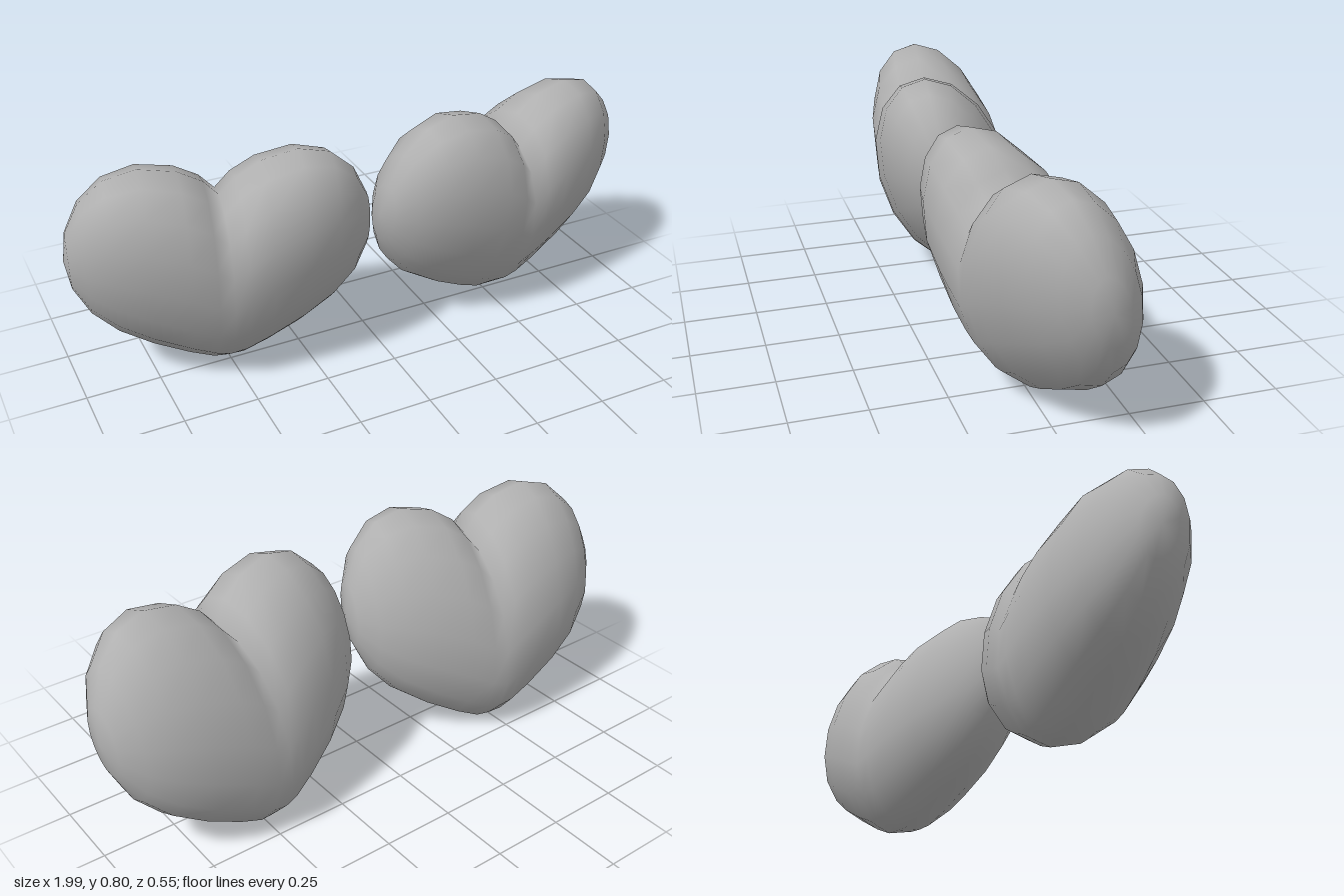
import * as THREE from 'three';
import { mergeVertices } from 'three/addons/utils/BufferGeometryUtils.js';

const HALF_WIDTH = 0.495;
const SEGMENTS = 16;

// Elliptical cross-sections strung along x, swelling into two lobes around a notch.
function heartGeometry() {
  const half = [0.1, 0.26, 0.5, 0.71, 0.87, 0.97, 1];
  const stations = [...half.map((u) => -u).reverse(), 0, ...half];
  const positions = [];
  const indices = [];

  stations.forEach((s, i) => {
    const u = Math.abs(s);
    const middle = 0.33 + 0.33 * u - 0.18 * u * u;
    const lobe = 1 + 0.13 * (1 - Math.exp(-12 * u));
    const height = 0.33 * lobe * Math.sqrt(1 - u ** 3);
    const depth = 0.25 * Math.sqrt(1 - u ** 2.2);
    for (let j = 0; j < SEGMENTS; j++) {
      const t = (j / SEGMENTS) * Math.PI * 2;
      const y = middle + height * Math.cos(t);
      // The top leans forward
      const z = depth * Math.sin(t) + 0.2 * (y - 0.45);
      positions.push(s * HALF_WIDTH, y, z);
      if (i === stations.length - 1) continue;
      const a = i * SEGMENTS + j;
      const b = i * SEGMENTS + ((j + 1) % SEGMENTS);
      const c = a + SEGMENTS;
      const d = b + SEGMENTS;
      if (i > 0) indices.push(a, b, c);
      if (i < stations.length - 2) indices.push(b, d, c);
      else indices.push();
      // End caps keep the one triangle that does not collapse at the pole
      if (i === 0) indices.push();
    }
  });

  const raw = new THREE.BufferGeometry();
  raw.setAttribute('position', new THREE.Float32BufferAttribute(positions, 3));
  raw.setIndex(indices);
  const geometry = mergeVertices(raw, 1e-5);
  geometry.computeVertexNormals();
  return geometry;
}

export function createModel() {
  const model = new THREE.Group();
  model.name = 'heartPair';
  const grey = new THREE.MeshStandardMaterial({ color: 0xb0b0b0 });
  grey.name = 'grey';
  const geometry = heartGeometry();

  // Mirrored hearts, each turned slightly outward
  for (const side of [1, -1]) {
    const heart = new THREE.Mesh(geometry, grey);
    heart.name = side > 0 ? 'leftHeart' : 'rightHeart';
    heart.position.x = side * 0.508;
    heart.rotation.y = side * 0.17;
    model.add(heart);
  }
  return model;
}
